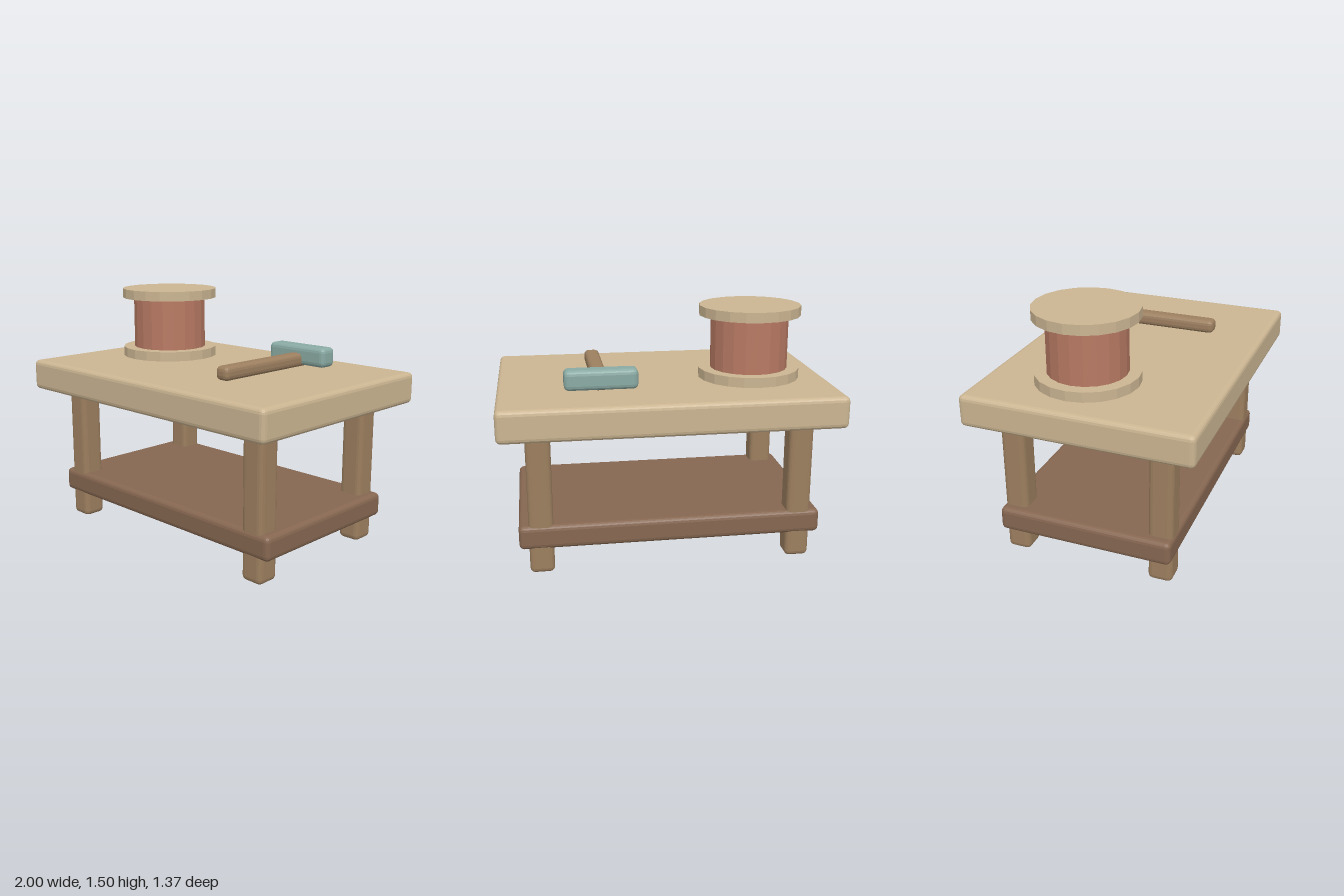
import * as THREE from 'three';
import { RoundedBoxGeometry } from 'three/addons/geometries/RoundedBoxGeometry.js';

const mat = (color) => new THREE.MeshStandardMaterial({ color, flatShading: true });

export function createModel() {
  const group = new THREE.Group();
  const paleWood = mat(0xcbb592);
  const legWood = mat(0x9c7f5f);
  const shelfWood = mat(0x866751);
  const copper = mat(0xb87a63);
  const steel = mat(0x8aaaa3);

  const add = (name, geometry, material, x, y, z) => {
    const mesh = new THREE.Mesh(geometry, material);
    mesh.name = name;
    mesh.position.set(x, y, z);
    group.add(mesh);
  };
  // Box with softly bevelled edges
  const box = (name, w, h, d, r, material, x, y, z) =>
    add(name, new RoundedBoxGeometry(w, h, d, 2, r), material, x, y, z);
  // Twenty-sided upright cylinder
  const drum = (name, r, h, material, x, y, z) =>
    add(name, new THREE.CylinderGeometry(r, r, h, 20), material, x, y, z);

  // Table
  box('tableTop', 2, 0.19, 1.37, 0.03, paleWood, 0, 0.955, 0);
  box('shelf', 1.81, 0.145, 1.06, 0.03, shelfWood, 0, 0.228, 0);
  for (const sx of [-1, 1]) {
    for (const sz of [-1, 1]) {
      const name = (sz > 0 ? 'front' : 'back') + (sx > 0 ? 'Left' : 'Right') + 'Leg';
      box(name, 0.145, 0.9, 0.145, 0.03, legWood, sx * 0.775, 0.45, sz * 0.45);
    }
  }

  // Spool
  const sx = -0.54, sz = -0.1;
  drum('spoolBase', 0.31, 0.06, paleWood, sx, 1.08, sz);
  drum('spoolWinding', 0.237, 0.33, copper, sx, 1.272, sz);
  drum('spoolCap', 0.31, 0.06, paleWood, sx, 1.465, sz);

  // Mallet lying on the table
  box('malletHandle', 0.095, 0.085, 0.755, 0.03, legWood, 0.398, 1.103, -0.007);
  box('malletHead', 0.43, 0.12, 0.12, 0.03, steel, 0.396, 1.13, -0.35);

  return group;
}
